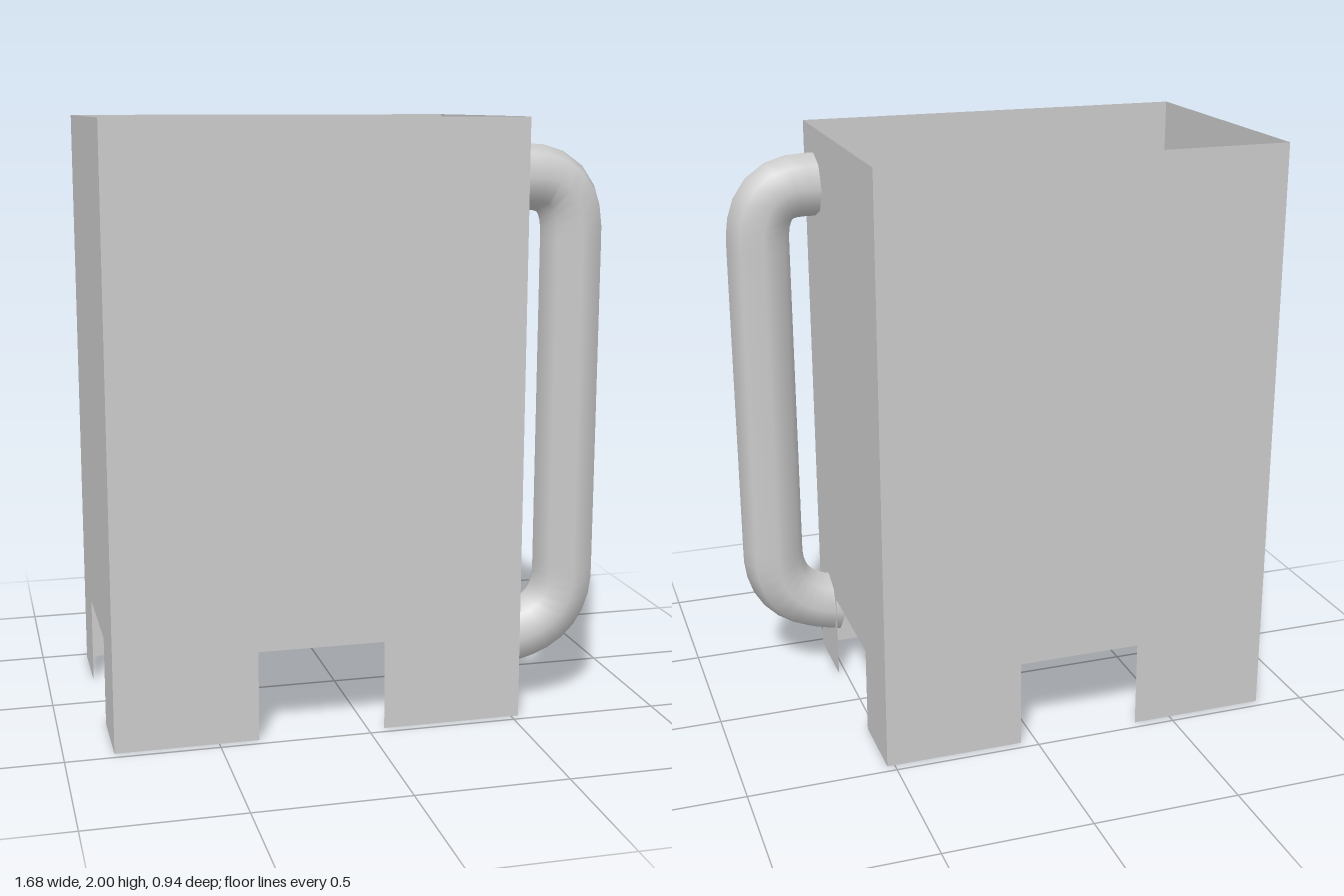
import * as THREE from 'three';

const HEIGHT = 2, WIDTH = 1.365, DEPTH = 0.94, CENTER_X = -0.157;
const NOTCH_WIDTH = 0.423, NOTCH_HEIGHT = 0.3;

// Thin upright panel with a rectangular notch in its bottom edge
function wall(name, width, x, z, turn, material) {
  const w = width / 2, n = NOTCH_WIDTH / 2;
  const outline = [
    [-w, 0], [-n, 0], [-n, NOTCH_HEIGHT], [n, NOTCH_HEIGHT],
    [n, 0], [w, 0], [w, HEIGHT], [-w, HEIGHT],
  ].map(([px, py]) => new THREE.Vector2(px, py));
  const mesh = new THREE.Mesh(new THREE.ShapeGeometry(new THREE.Shape(outline)), material);
  mesh.name = name;
  mesh.position.set(x, 0, z);
  mesh.rotation.y = turn;
  return mesh;
}

export function createModel() {
  const model = new THREE.Group();
  model.name = 'openContainer';
  const material = new THREE.MeshStandardMaterial({ color: 0xcccccc, side: THREE.DoubleSide });

  // Four walls, open at top and bottom
  const body = new THREE.Group();
  body.name = 'body';
  body.add(
    wall('frontWall', WIDTH, CENTER_X, DEPTH / 2, 0, material),
    wall('backWall', WIDTH, CENTER_X, -DEPTH / 2, Math.PI, material),
    wall('leftWall', DEPTH, CENTER_X + WIDTH / 2, 0, Math.PI / 2, material),
    wall('rightWall', DEPTH, CENTER_X - WIDTH / 2, 0, -Math.PI / 2, material),
  );
  model.add(body);

  // Handle: up the outside, through the wall at the top and down the inside
  const p = (x, y) => new THREE.Vector3(x, y, 0);
  const path = new THREE.CurvePath();
  path.add(new THREE.LineCurve3(p(0.49, 0.24), p(0.54, 0.25)));
  path.add(new THREE.QuadraticBezierCurve3(p(0.54, 0.25), p(0.72, 0.29), p(0.728, 0.46)));
  path.add(new THREE.LineCurve3(p(0.728, 0.46), p(0.728, 1.62)));
  path.add(new THREE.QuadraticBezierCurve3(p(0.728, 1.62), p(0.728, 1.805), p(0.57, 1.805)));
  path.add(new THREE.LineCurve3(p(0.57, 1.805), p(0.51, 1.805)));
  path.add(new THREE.QuadraticBezierCurve3(p(0.51, 1.805), p(0.36, 1.805), p(0.357, 1.6)));
  path.add(new THREE.LineCurve3(p(0.357, 1.6), p(0.31, 0.58)));
  const handle = new THREE.Mesh(new THREE.TubeGeometry(path, 72, 0.108, 8, false), material);
  handle.name = 'handle';
  handle.position.z = 0.325;
  model.add(handle);

  return model;
}
